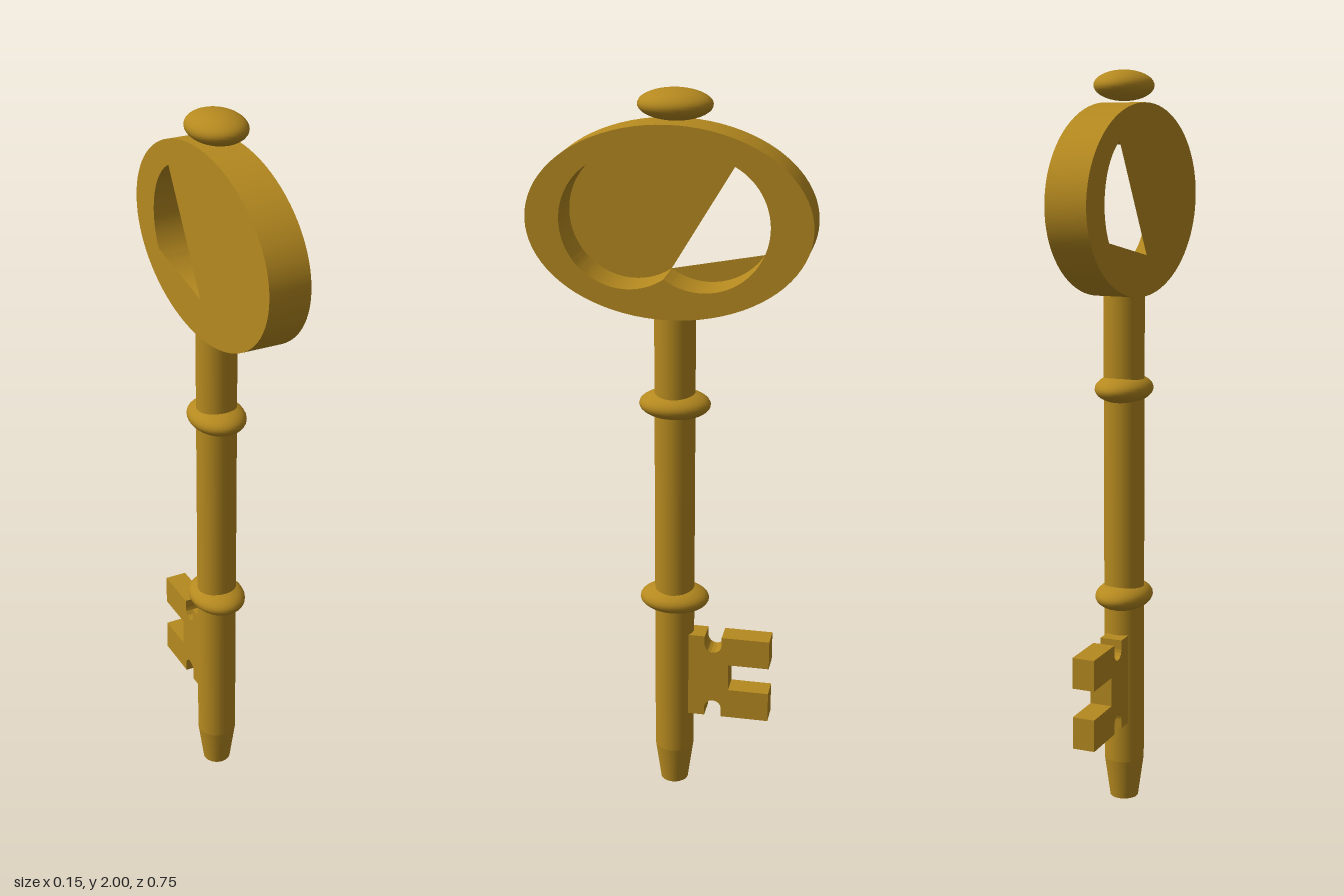
import * as THREE from 'three';
import { toCreasedNormals } from 'three/addons/utils/BufferGeometryUtils.js';

const brass = new THREE.MeshStandardMaterial({ color: 0xb5891f });
const brassSheet = new THREE.MeshStandardMaterial({ color: 0xb5891f, side: THREE.DoubleSide });

const AXIS_Z = -0.01; // the shaft sits slightly behind the middle
const HALF = 0.056; // half thickness of the bow

export function createModel() {
  const key = new THREE.Group();
  key.name = 'key';

  function add(name, geometry, x, y, z, material = brass) {
    const mesh = new THREE.Mesh(geometry, material);
    mesh.name = name;
    mesh.position.set(x, y, z);
    key.add(mesh);
    return mesh;
  }

  // Flat shapes are drawn with u = -z and v = y, then turned to face sideways
  function plate(shape, depth) {
    const g = new THREE.ExtrudeGeometry(shape, { depth, bevelEnabled: false, curveSegments: 40 });
    g.translate(0, 0, -depth / 2);
    g.rotateY(Math.PI / 2);
    return toCreasedNormals(g, 0.6);
  }

  // Shaft with a tapered tip
  add('shaft', new THREE.CylinderGeometry(0.055, 0.055, 1.315, 32), 0, 0.115 + 1.315 / 2, AXIS_Z);
  add('tip', new THREE.CylinderGeometry(0.055, 0.039, 0.115, 32), 0, 0.0575, AXIS_Z);

  // Oval collars and the matching knob on top
  const bead = new THREE.SphereGeometry(1, 32, 20);
  bead.scale(0.076, 0.04, 0.097);
  add('lowerCollar', bead, 0, 0.588, AXIS_Z);
  add('upperCollar', bead, 0, 1.165, AXIS_Z);
  add('topKnob', bead, 0, 1.96, AXIS_Z);

  // Oval bow pierced by two overlapping circles
  const cy = 1.665, r = 0.175, uL = -0.11, uR = 0.09;
  const cusp = Math.acos(-0.1 / r); // angle of the cusps on the right circle
  const rad = THREE.MathUtils.degToRad;
  const leftLobe = (path) => path.absarc(uL, cy, r, Math.PI - cusp, Math.PI + cusp, false);

  const bow = new THREE.Shape();
  bow.absellipse(0, cy, 0.375, 0.252, 0, Math.PI * 2, false, 0);
  const hole = new THREE.Path();
  hole.absarc(uR, cy, r, -cusp, cusp, false);
  leftLobe(hole);
  bow.holes.push(hole);
  add('bow', plate(bow, HALF * 2), 0, 0, 0);

  // Thin web closing the far side of the hole, leaving one wedge open
  const web = new THREE.Shape();
  web.moveTo(-0.01, cy - r * Math.sin(cusp));
  web.absarc(uR, cy, r, rad(63), cusp, false);
  leftLobe(web);
  const sliver = new THREE.Shape();
  sliver.absarc(uR, cy, r, -cusp, rad(-33), false);
  const webGeometry = new THREE.ShapeGeometry([web, sliver], 40);
  webGeometry.rotateY(-Math.PI / 2);
  webGeometry.scale(1, 1, -1);
  add('bowWeb', webGeometry, -HALF, 0, 0, brassSheet);

  // Bit with two prongs and a rounded notch above and below
  const y0 = 0.232, y1 = 0.485, nu = 0.126, nr = 0.024;
  const bit = new THREE.Shape();
  bit.moveTo(0.04, y0);
  bit.lineTo(nu - nr, y0);
  bit.absarc(nu, y0 + 0.025, nr, Math.PI, 0, true);
  bit.lineTo(nu + nr, y0);
  bit.lineTo(0.285, y0);
  bit.lineTo(0.285, 0.32);
  bit.lineTo(0.17, 0.32);
  bit.lineTo(0.17, 0.4);
  bit.lineTo(0.285, 0.4);
  bit.lineTo(0.285, y1);
  bit.lineTo(nu + nr, y1);
  bit.absarc(nu, y1 - 0.025, nr, 0, Math.PI, true);
  bit.lineTo(nu - nr, y1);
  bit.lineTo(0.04, y1);
  add('bit', plate(bit, 0.062), 0, 0, 0);

  return key;
}
